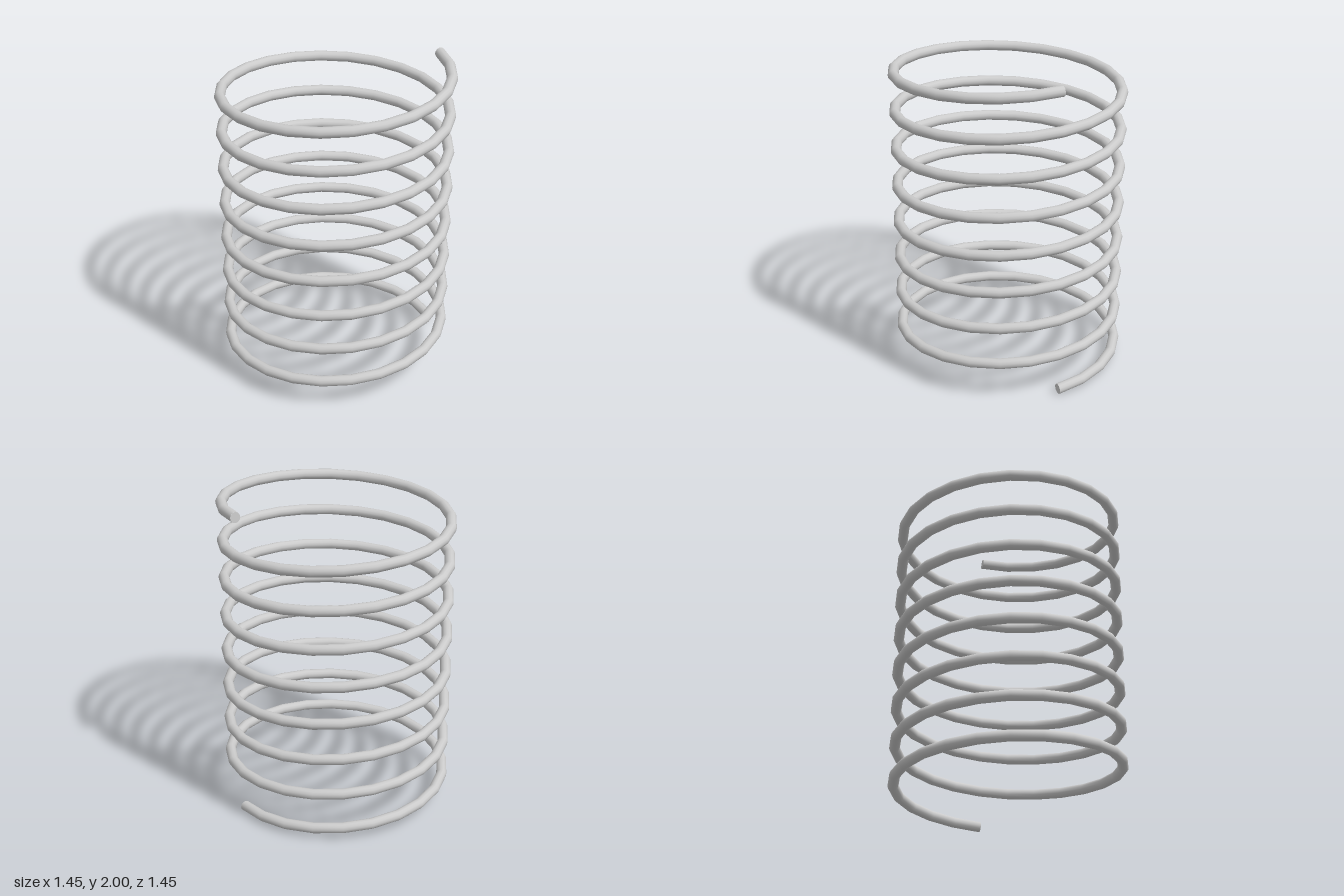
import * as THREE from 'three';

const TURNS = 8, STEPS = 24, SIDES = 12;
const COIL_RADIUS = 0.693, WIRE_RADIUS = 0.033, HEIGHT = 2;

// Centre line of the wire, climbing from +x towards the back
class Helix extends THREE.Curve {
  getPoint(t, target = new THREE.Vector3()) {
    const a = t * TURNS * Math.PI * 2;
    const y = WIRE_RADIUS + t * (HEIGHT - 2 * WIRE_RADIUS);
    return target.set(COIL_RADIUS * Math.cos(a), y, -COIL_RADIUS * Math.sin(a));
  }
}

export function createModel() {
  const spring = new THREE.Group();
  spring.name = 'coilSpring';
  const material = new THREE.MeshStandardMaterial({ color: 0xcccccc });

  // Coiled wire
  const helix = new Helix();
  helix.arcLengthDivisions = TURNS * STEPS * 4;
  const wire = new THREE.Mesh(
    new THREE.TubeGeometry(helix, TURNS * STEPS, WIRE_RADIUS, SIDES, false), material);
  wire.name = 'coil';
  spring.add(wire);

  // Flat discs closing both ends, facing out along the wire
  for (const [name, t, sign] of [['bottomEnd', 0, -1], ['topEnd', 1, 1]]) {
    const cap = new THREE.Mesh(new THREE.CircleGeometry(WIRE_RADIUS, SIDES), material);
    cap.name = name;
    cap.position.copy(helix.getPoint(t));
    cap.lookAt(helix.getTangent(t).multiplyScalar(sign).add(cap.position));
    spring.add(cap);
  }
  return spring;
}
